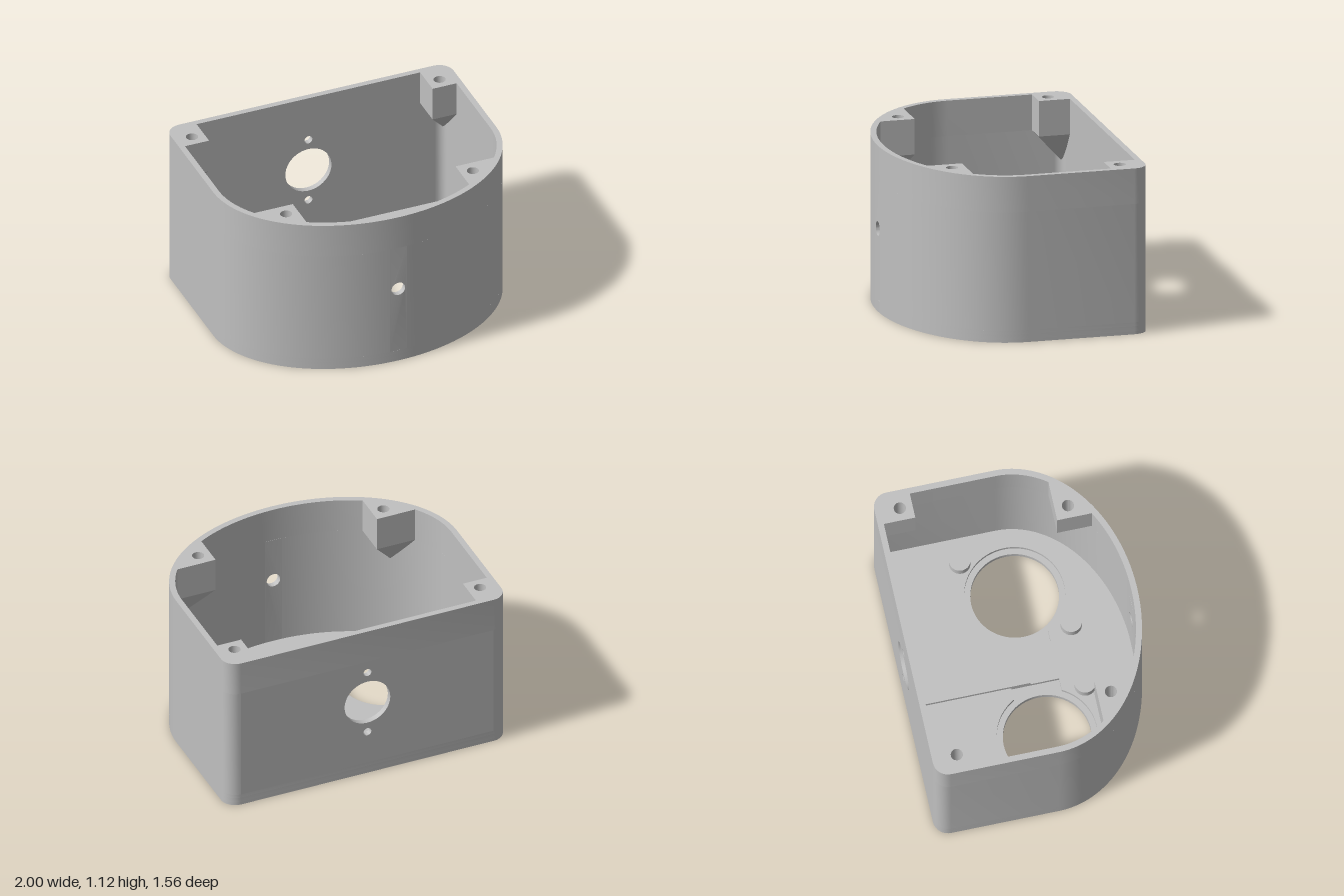
import * as THREE from 'three';
import { toCreasedNormals, mergeGeometries } from 'three/addons/utils/BufferGeometryUtils.js';

const H = 1.12, FLOOR = 0.08, RIM = 0.88;   // total height, floor top, underside of rim
const BACK = -0.78, ZC = 0.04, WALL = 0.04; // back face, start of the rounded front, wall thickness
const OUT = [1, 0.74], INN = [0.96, 0.7];   // half axes of the rounded front

// Points on the rounded front between two x positions (x > 0 side)
function frontArc([a, b], x0, x1, n = 24) {
  const t0 = Math.acos(x0 / a), t1 = Math.acos(x1 / a);
  return Array.from({ length: n + 1 }, (_, i) => {
    const t = t0 + (t1 - t0) * i / n;
    return [a * Math.cos(t), ZC + b * Math.sin(t)];
  });
}

// Rounded rear corner, from the side towards the back
function rearCorner(r, n = 8) {
  return Array.from({ length: n + 1 }, (_, i) => {
    const t = Math.PI / 2 * i / n;
    return [0.9 + r * Math.cos(t), -0.68 - r * Math.sin(t)];
  });
}

const flip = (pts) => pts.map(([x, z]) => [-x, z]);
const mirrored = (pts) => [...pts, ...flip(pts).reverse()];
const plan = (pts) => pts.map(([x, z]) => new THREE.Vector2(x, -z));

function circlePts(x, z, r, n = 40) {
  return Array.from({ length: n }, (_, i) => {
    const t = i / n * Math.PI * 2;
    return [x + r * Math.cos(t), z + r * Math.sin(t)];
  });
}

// Extrude a plan outline [x, z] upwards from y0 to y1
function slab(outline, holes, y0, y1) {
  const shape = new THREE.Shape(plan(outline));
  shape.holes = holes.map((h) => new THREE.Path(plan(h)));
  const g = new THREE.ExtrudeGeometry(shape, { depth: y1 - y0, bevelEnabled: false });
  g.rotateX(-Math.PI / 2).translate(0, y0, 0);
  return toCreasedNormals(g, 0.5);
}

// Upright panel in x and y with round holes [x, y, r]
function panel(halfWidth, holes) {
  const shape = new THREE.Shape([[-halfWidth, FLOOR], [halfWidth, FLOOR], [halfWidth, RIM], [-halfWidth, RIM]]
    .map(([x, y]) => new THREE.Vector2(x, y)));
  for (const [x, y, r] of holes) {
    shape.holes.push(new THREE.Path().absarc(x, y, r, 0, Math.PI * 2, true));
  }
  return new THREE.ExtrudeGeometry(shape, { depth: WALL, bevelEnabled: false, curveSegments: 24 });
}

export function createModel() {
  const group = new THREE.Group();
  const grey = new THREE.MeshStandardMaterial({ color: 0xc0c0c0 });
  grey.name = 'light grey';
  const add = (name, geometry) => {
    const mesh = new THREE.Mesh(geometry, grey);
    mesh.name = name;
    group.add(mesh);
  };
  const outline = mirrored([...frontArc(OUT, 0.001, 1, 40), ...rearCorner(0.1)]);
  const bothSides = (fn) => [fn(1), fn(-1)];

  // Floor in three layers: outer recess, narrow lip, inner ledge with side slots
  const eye = (r) => bothSides((s) => circlePts(s * 0.5, 0.07, r, 64));
  add('floorRecess', slab(outline, eye(0.43), 0, 0.02));
  add('floorLip', slab(outline, eye(0.29), 0.02, 0.055));
  const slotAngle = Math.asin(0.16 / 0.33);
  const slot = [[0.13, 0.23], [0.13, -0.09]];
  for (let i = 0; i <= 56; i++) {
    const t = -Math.PI + slotAngle + (2 * Math.PI - 2 * slotAngle) * i / 56;
    slot.push([0.5 + 0.33 * Math.cos(t), 0.07 + 0.33 * Math.sin(t)]);
  }
  add('floorLedge', slab(outline, [slot, flip(slot)], 0.055, FLOOR));

  // Raised strip running from the back wall along the floor
  add('floorStrip', slab([[-0.13, -0.74], [0.13, -0.74], [0.13, 0.04], [-0.13, 0.04]], [], FLOOR, 0.105));

  // Curved side walls
  const side = [
    ...frontArc(OUT, 0.06, 1, 40), ...rearCorner(0.1),
    ...rearCorner(0.06).reverse(), ...frontArc(INN, 0.06, 0.96, 40).reverse(),
  ];
  add('leftWall', slab(side, [], FLOOR, RIM));
  add('rightWall', slab(flip(side), [], FLOOR, RIM));

  // Back wall with a round opening and two screw holes
  const back = panel(0.9, [[0, 0.56, 0.163], [0, 0.795, 0.028], [0, 0.325, 0.028]]);
  add('backWall', toCreasedNormals(back.translate(0, 0, BACK), 0.5));

  // Middle of the front wall, bent to the curve, with a small hole
  const front = panel(0.06, [[0, 0.56, 0.048]]);
  const p = front.attributes.position;
  for (let i = 0; i < p.count; i++) {
    const [a, b] = p.getZ(i) > WALL / 2 ? OUT : INN;
    p.setZ(i, ZC + b * Math.sqrt(1 - (p.getX(i) / a) ** 2));
  }
  add('frontWall', toCreasedNormals(front, 0.5));

  // Rim with the four screw bosses
  const screws = [[0.875, -0.615], [0.66, 0.46]].flatMap(([x, z]) => [[x, z], [-x, z]]);
  const frontX = 0.575, frontZ = 0.37;
  const sideX = INN[0] * Math.sqrt(1 - ((frontZ - ZC) / INN[1]) ** 2);
  const cavity = mirrored([
    ...frontArc(INN, 0.001, frontX), [frontX, frontZ], ...frontArc(INN, sideX, 0.96, 16),
    [0.96, -0.53], [0.79, -0.53], [0.79, -0.74],
  ]);
  add('rim', slab(outline, [cavity, ...screws.map(([x, z]) => circlePts(x, z, 0.04, 24))], RIM, H));
  add('screwHoleBottoms', mergeGeometries(screws.map(([x, z]) =>
    new THREE.CircleGeometry(0.042, 24).rotateX(-Math.PI / 2).translate(x, RIM + 0.005, z))));

  // Pointed undersides of the bosses, running into the walls
  const tapers = [
    { name: 'rearBossTaper', edge: [[0.79, -0.75], [0.79, -0.53], [0.97, -0.53]], tip: [0.95, -0.73] },
    { name: 'frontBossTaper', edge: [[0.87, frontZ], [frontX, frontZ], [frontX, 0.625]], tip: [0.745, 0.515] },
  ];
  for (const { name, edge, tip } of tapers) {
    for (const s of [1, -1]) {
      const pos = [];
      for (let i = 0; i < 2; i++) {
        const tri = [[...edge[i], RIM], [...edge[i + 1], RIM], [...tip, 0.66]];
        // Turn each face so that it looks into the cavity
        const [A, B, C] = tri.map(([x, z, y]) => new THREE.Vector3(s * x, y, z));
        const n = B.clone().sub(A).cross(C.clone().sub(A));
        const corners = n.y < 0 ? [A, B, C] : [A, C, B];
        corners.forEach((v) => pos.push(v.x, v.y, v.z));
      }
      const g = new THREE.BufferGeometry();
      g.setAttribute('position', new THREE.Float32BufferAttribute(pos, 3));
      g.computeVertexNormals();
      add(name, g);
    }
  }

  // Hollow mounting posts on the floor
  for (const [x, z] of [[0.785, -0.235], [0.215, 0.385]]) {
    for (const s of [1, -1]) {
      add('mountingPost', slab(circlePts(s * x, z, 0.07), [circlePts(s * x, z, 0.04)], FLOOR, 0.14));
    }
  }
  return group;
}
